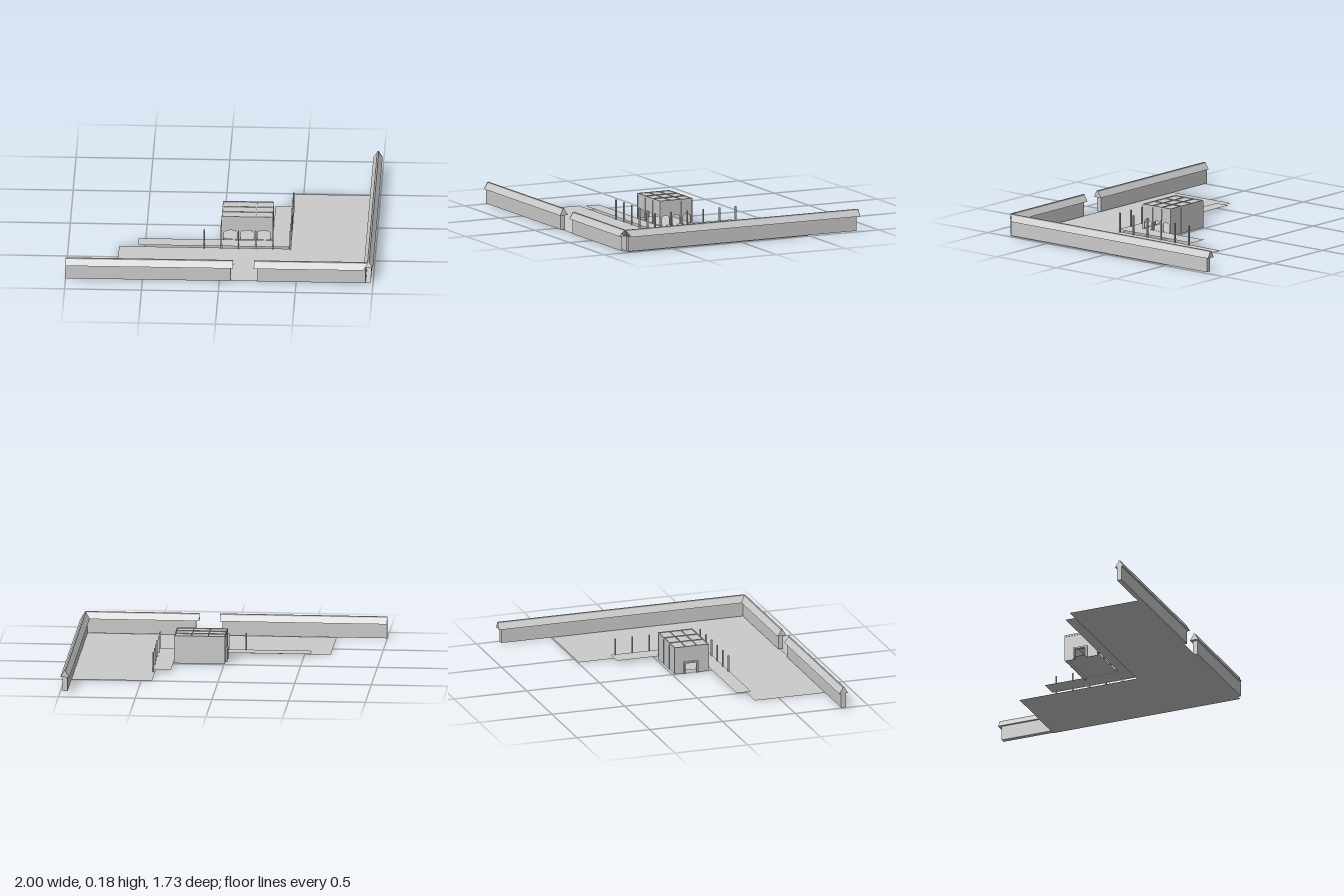
import * as THREE from 'three';

const grey = new THREE.MeshStandardMaterial({ color: 0xcccccc, flatShading: true, side: THREE.DoubleSide });

function add(parent, name, geometry, x = 0, y = 0, z = 0) {
  const mesh = new THREE.Mesh(geometry, grey);
  mesh.name = name;
  mesh.position.set(x, y, z);
  parent.add(mesh);
  return mesh;
}

// Box given by its lower and upper corners
function box(parent, name, [x0, y0, z0], [x1, y1, z1]) {
  return add(parent, name, new THREE.BoxGeometry(x1 - x0, y1 - y0, z1 - z0),
    (x0 + x1) / 2, (y0 + y1) / 2, (z0 + z1) / 2);
}

// Flat horizontal sheet from an outline of [x, z] corners
function sheet(parent, name, outline, y) {
  const shape = new THREE.Shape(outline.map(([x, z]) => new THREE.Vector2(x, -z)));
  return add(parent, name, new THREE.ShapeGeometry(shape).rotateX(-Math.PI / 2), 0, y, 0);
}

const CORNER = { x: 0.969, z: 0.832 };

// Sweeps a closed profile of [offset, y] along x (front) or z (side).
// An end marked 'mitre' runs back from the corner by the offset and stays open.
function sweep(parent, name, profile, from, to, alongX) {
  const end = (off) => (to === 'mitre' ? (alongX ? CORNER.x : CORNER.z) - Math.abs(off) : to);
  const place = (s, [off, y]) => (alongX ? [s, y, CORNER.z + off] : [CORNER.x + off, y, s]);
  const positions = [];
  const tri = (a, b, c) => positions.push(...(alongX ? [a, b, c] : [a, c, b]).flat());
  const start = profile.map((p) => place(from, p));
  const stop = profile.map((p) => place(end(p[0]), p));
  const n = profile.length;
  for (let i = 0; i < n; i++) {
    const j = (i + 1) % n;
    tri(start[i], start[j], stop[j]);
    tri(start[i], stop[j], stop[i]);
  }
  for (let i = 1; i < n - 1; i++) {
    tri(start[0], start[i + 1], start[i]);
    if (to !== 'mitre') tri(stop[0], stop[i], stop[i + 1]);
  }
  const geometry = new THREE.BufferGeometry();
  geometry.setAttribute('position', new THREE.Float32BufferAttribute(positions, 3));
  geometry.computeVertexNormals();
  return add(parent, name, geometry);
}

// Wall with a row of arched openings standing on the floor
function arcade(width, height, bays, opening, spring) {
  const shape = new THREE.Shape();
  const bay = width / bays;
  const r = opening / 2;
  shape.moveTo(0, 0);
  for (let i = 0; i < bays; i++) {
    const c = (i + 0.5) * bay;
    shape.lineTo(c - r, 0);
    shape.lineTo(c - r, spring);
    shape.absellipse(c, spring, r, 0.02, Math.PI, 0, true);
    shape.lineTo(c + r, 0);
  }
  shape.lineTo(width, 0);
  shape.lineTo(width, height);
  shape.lineTo(0, height);
  return new THREE.ExtrudeGeometry(shape, { depth: 0.006, bevelEnabled: false, curveSegments: 8 });
}

function buildBoundary(parent) {
  const walls = new THREE.Group();
  walls.name = 'boundaryWalls';
  parent.add(walls);
  const wall = [[-0.016, 0.004], [-0.016, 0.102], [0.016, 0.102], [0.016, 0.004]].reverse();
  const cap = [[0.03, 0.1], [0.005, 0.137], [0.005, 0.145], [-0.005, 0.145], [-0.005, 0.137], [-0.03, 0.1]];
  sweep(walls, 'frontWallLong', wall, -1, 0.075, true);
  sweep(walls, 'frontWallShort', wall, 0.245, 'mitre', true);
  sweep(walls, 'sideWall', wall, -0.845, 'mitre', false);
  sweep(walls, 'frontWallLongRoof', cap, -1, 0.09, true);
  sweep(walls, 'frontWallShortRoof', cap, 0.225, 'mitre', true);
  sweep(walls, 'sideWallRoof', cap, -0.865, 'mitre', false);
}

function buildHall(parent) {
  const hall = new THREE.Group();
  hall.name = 'hall';
  parent.add(hall);
  const x0 = -0.003, x1 = 0.323, z0 = 0.017, z1 = 0.248, floor = 0.02, top = 0.172;
  const w = x1 - x0, d = z1 - z0;

  // Arcaded front and side, plain back
  add(hall, 'frontArcade', arcade(w, top - floor, 3, 0.085, 0.045), x0, floor, z1 - 0.006);
  add(hall, 'sideArcade', arcade(d, top - floor, 3, 0.055, 0.045), x1 - 0.006, floor, z1).rotation.y = Math.PI / 2;
  box(hall, 'backWall', [x0, 0, z0], [x1, top, z0 + 0.006]);

  // Entrance side with a doorway and its surround
  box(hall, 'entranceWallBack', [x0, 0, z0], [x0 + 0.006, top, 0.09]);
  box(hall, 'entranceWallFront', [x0, 0, 0.165], [x0 + 0.006, top, z1]);
  box(hall, 'entranceWallTop', [x0, 0.07, 0.09], [x0 + 0.006, top, 0.165]);
  box(hall, 'doorJambBack', [-0.015, 0, 0.078], [x0, 0.07, 0.09]);
  box(hall, 'doorJambFront', [-0.015, 0, 0.165], [x0, 0.07, 0.177]);
  box(hall, 'doorLintel', [-0.015, 0.07, 0.078], [x0, 0.08, 0.177]);
  sheet(hall, 'hallFloor', [[x0, z0], [x1, z0], [x1, z1], [x0, z1]], floor);

  // Roof deck with a grid of ribs and an edge band
  box(hall, 'roofDeck', [x0, top, z0], [x1, 0.18, z1]);
  for (let i = 0; i <= 3; i++) {
    const x = x0 + (w * i) / 3, z = z0 + (d * i) / 3;
    box(hall, 'roofRibAcross', [x - 0.003, top, z0], [x + 0.003, 0.184, z1]);
    box(hall, 'roofRibAlong', [x0, top, z - 0.003], [x1, 0.184, z + 0.003]);
    // Slim pilasters on the two open sides and the back
    box(hall, 'frontPilaster', [x - 0.003, floor, z1 - 0.003], [x + 0.003, 0.18, z1 + 0.003]);
    box(hall, 'backPilaster', [x - 0.003, 0, z0 - 0.002], [x + 0.003, 0.18, z0 + 0.003]);
    box(hall, 'sidePilaster', [x1 - 0.003, floor, z - 0.003], [x1 + 0.003, 0.18, z + 0.003]);
  }
}

export function createModel() {
  const model = new THREE.Group();
  model.name = 'walledCourt';

  // Ground and raised terrace, both L-shaped
  sheet(model, 'ground', [[-0.67, 0.338], [0.43, 0.338], [0.43, -0.493], [0.983, -0.493],
    [0.983, 0.832], [-0.67, 0.832]], 0);
  sheet(model, 'terrace', [[-0.545, 0.255], [0.325, 0.255], [0.325, -0.268], [0.45, -0.268],
    [0.45, 0.354], [-0.545, 0.354]], 0.02);

  buildBoundary(model);
  buildHall(model);

  // Posts along the outer edge of the terrace
  const post = new THREE.BoxGeometry(0.009, 0.13, 0.009);
  for (let i = 0; i < 6; i++) {
    add(model, 'frontPost', post, 0.443 - i * 0.112, 0.065, 0.347);
    if (i > 0) add(model, 'sidePost', post, 0.443, 0.065, 0.347 - i * 0.117);
  }
  return model;
}
